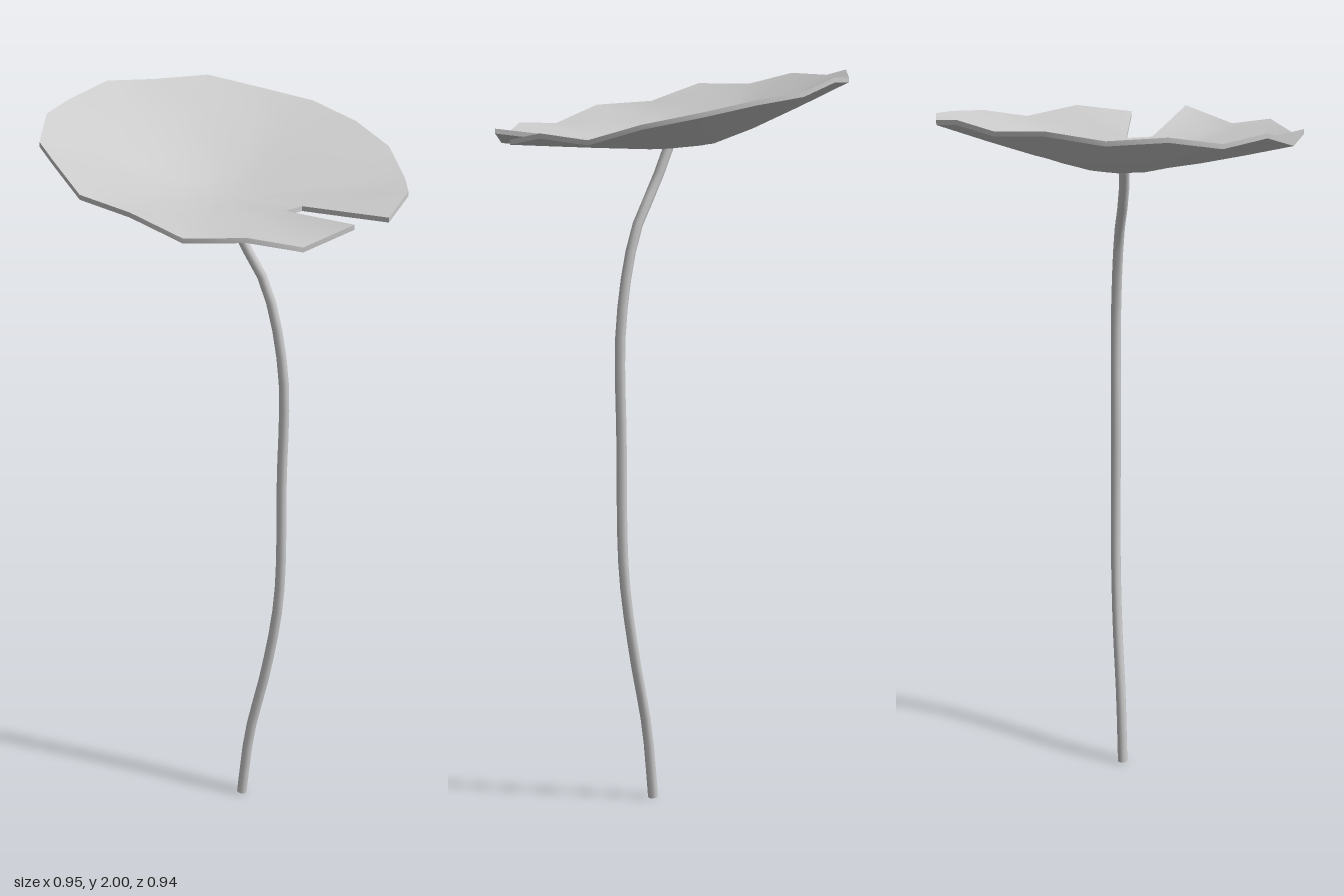
import * as THREE from 'three';
import { toCreasedNormals } from 'three/addons/utils/BufferGeometryUtils.js';

const material = () => new THREE.MeshStandardMaterial({ color: 0xcccccc });

// Wavy rim of the leaf, from one side of the notch round to the other: x, y, z
const RIM = [
  [0.24, 1.82, 0.405], [0.36, 1.84, 0.31], [0.435, 1.825, 0.18], [0.475, 1.865, 0.04],
  [0.465, 1.895, -0.11], [0.41, 1.925, -0.245], [0.315, 1.945, -0.36], [0.19, 1.98, -0.435],
  [0.045, 1.98, -0.47], [-0.105, 2.0, -0.46], [-0.245, 1.985, -0.405], [-0.36, 1.99, -0.305],
  [-0.44, 1.96, -0.185], [-0.475, 1.96, -0.035], [-0.47, 1.91, 0.1], [-0.41, 1.9, 0.25],
  [-0.32, 1.85, 0.355], [-0.19, 1.855, 0.44], [-0.05, 1.815, 0.47], [0.1, 1.845, 0.465],
];
const CENTRE = [0, 1.803, 0.01];
// Rings from centre to rim: [radial fraction, share of the rim height]
const RINGS = [[0, 0], [0.25, 0.08], [0.47, 0.31], [0.73, 0.64], [1, 1]];
const NOTCH_RING = 2; // the notch is cut outside this ring
const THICKNESS = 0.013;

function leafGeometry() {
  const n = RIM.length;
  const pos = [];
  const point = (ring, i, drop) => {
    const [t, h] = RINGS[ring];
    const r = RIM[i % n];
    return [
      CENTRE[0] + (r[0] - CENTRE[0]) * t,
      CENTRE[1] + (r[1] - CENTRE[1]) * h - drop,
      CENTRE[2] + (r[2] - CENTRE[2]) * t,
    ];
  };
  const tri = (a, b, c) => pos.push(...a, ...b, ...c);
  const quad = (a, b, c, d) => { tri(a, b, c); tri(a, c, d); };
  // Side wall below the edge running from (r0, i0) to (r1, i1)
  const wall = (r0, i0, r1, i1) => quad(
    point(r0, i0, 0), point(r0, i0, THICKNESS), point(r1, i1, THICKNESS), point(r1, i1, 0));

  for (let i = 0; i < n; i++) {
    const outer = i === n - 1 ? NOTCH_RING : RINGS.length - 1;
    for (let k = 0; k < outer; k++) {
      for (const drop of [0, THICKNESS]) {
        const a = point(k, i, drop), b = point(k + 1, i, drop);
        const c = point(k + 1, i + 1, drop), d = point(k, i + 1, drop);
        if (drop === 0) {
          tri(a, b, c);
          if (k > 0) tri(a, c, d);
        } else {
          tri(a, c, b);
          if (k > 0) tri(a, d, c);
        }
      }
    }
    wall(outer, i, outer, i + 1);
  }
  // Two straight sides of the notch
  for (let k = NOTCH_RING; k < RINGS.length - 1; k++) {
    wall(k + 1, n - 1, k, n - 1);
    wall(k, 0, k + 1, 0);
  }
  const g = new THREE.BufferGeometry();
  g.setAttribute('position', new THREE.Float32BufferAttribute(pos, 3));
  return toCreasedNormals(g, Math.PI / 4);
}

export function createModel() {
  const group = new THREE.Group();

  const leaf = new THREE.Mesh(leafGeometry(), material());
  leaf.name = 'leaf';
  group.add(leaf);

  // Gently bent stem
  const path = new THREE.CatmullRomCurve3([
    [0.023, 0, 0.053], [0.04, 0.2, 0.068], [0.075, 0.42, 0.1], [0.098, 0.65, 0.125],
    [0.1, 1, 0.13], [0.1, 1.33, 0.13], [0.065, 1.57, 0.095], [0.015, 1.7, 0.045],
    [-0.01, 1.795, 0.012],
  ].map((p) => new THREE.Vector3(...p)));
  const stem = new THREE.Mesh(new THREE.TubeGeometry(path, 24, 0.014, 8), material());
  stem.name = 'stem';
  group.add(stem);

  // Closed foot of the stem
  const foot = new THREE.Mesh(new THREE.CircleGeometry(0.014, 8), material());
  foot.name = 'stemFoot';
  foot.rotation.x = Math.PI / 2;
  foot.position.set(0.023, 0, 0.053);
  group.add(foot);

  return group;
}
